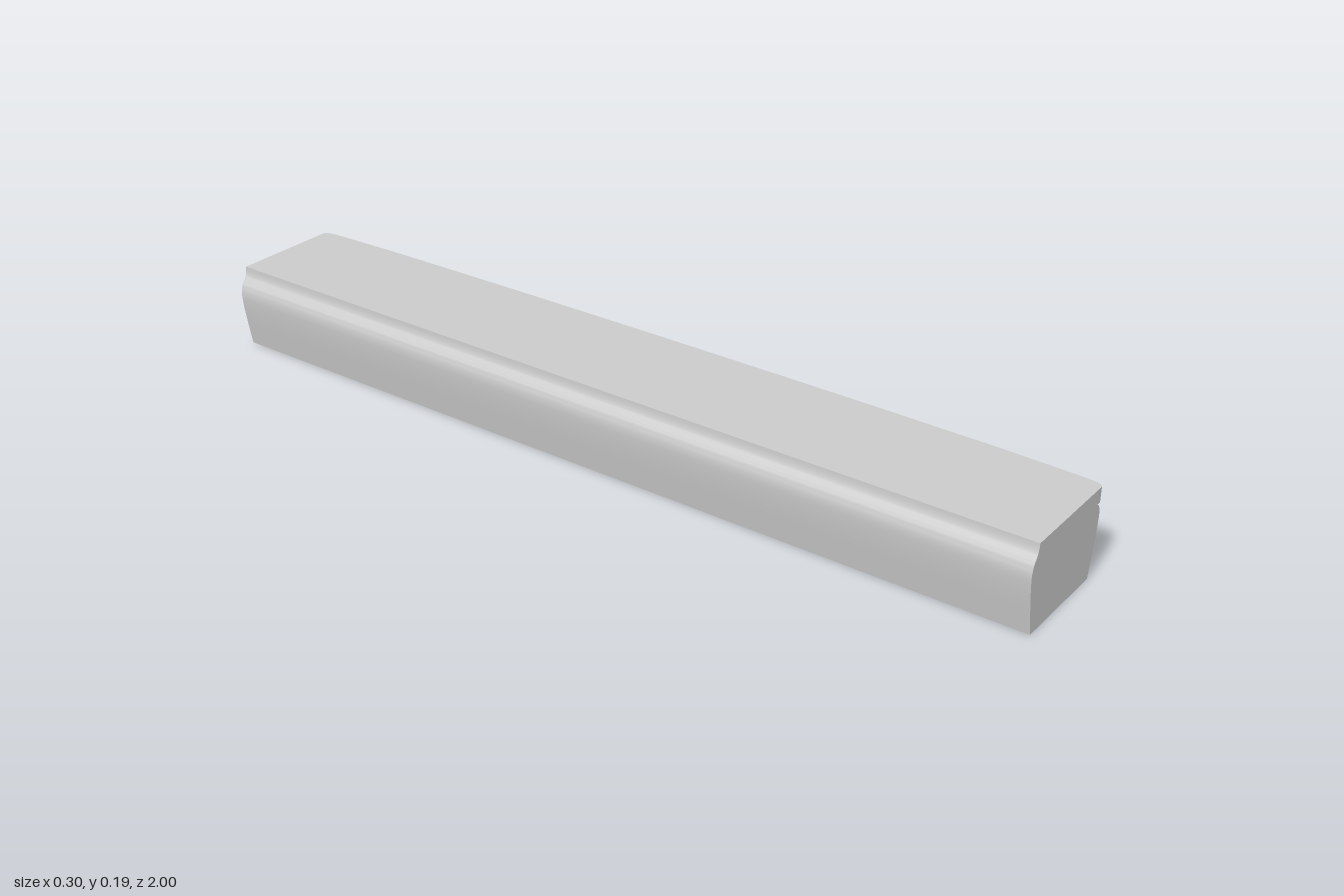
import * as THREE from 'three';
import { toCreasedNormals } from 'three/addons/utils/BufferGeometryUtils.js';

const LENGTH = 2, HEIGHT = 0.192, LIP_Y = 0.159, SEAM_X = 0.107;

export function createModel() {
  const group = new THREE.Group();
  group.name = 'mouldedBeam';
  const material = new THREE.MeshStandardMaterial({ color: 0xcccccc });

  function addExtrusion(name, shape, depth, place) {
    const geometry = new THREE.ExtrudeGeometry(shape, { depth, bevelEnabled: false, curveSegments: 12 });
    place(geometry);
    const mesh = new THREE.Mesh(toCreasedNormals(geometry, 0.6), material);
    mesh.name = name;
    group.add(mesh);
  }

  // Beam: bulging flanks, a shallow cove at the upper right-hand edge
  const profile = new THREE.Shape();
  profile.moveTo(-0.128, 0);
  profile.lineTo(0.105, 0);
  profile.bezierCurveTo(0.113, 0.045, 0.122, 0.09, 0.124, 0.128);
  profile.bezierCurveTo(0.125, 0.145, 0.118, 0.157, SEAM_X, LIP_Y);
  profile.lineTo(SEAM_X, HEIGHT);
  profile.lineTo(-0.128, HEIGHT);
  profile.bezierCurveTo(-0.128, 0.156, -0.147, 0.168, -0.148, 0.128);
  profile.bezierCurveTo(-0.146, 0.09, -0.136, 0.045, -0.128, 0);
  addExtrusion('beam', profile, LENGTH, (g) => g.translate(0, 0, -LENGTH / 2));

  // Overhanging lip: plan outline bowed along its length with rounded corners
  const plan = new THREE.Shape();
  plan.moveTo(SEAM_X, -1);
  plan.lineTo(0.119, -1);
  plan.bezierCurveTo(0.129, -1, 0.132, -0.985, 0.134, -0.96);
  plan.lineTo(0.14, -0.8);
  plan.quadraticCurveTo(0.147, -0.45, 0.147, 0);
  plan.quadraticCurveTo(0.147, 0.45, 0.14, 0.8);
  plan.lineTo(0.134, 0.96);
  plan.bezierCurveTo(0.132, 0.985, 0.129, 1, 0.119, 1);
  plan.lineTo(SEAM_X, 1);
  plan.closePath();
  addExtrusion('lip', plan, HEIGHT - LIP_Y, (g) => g.rotateX(-Math.PI / 2).translate(0, LIP_Y, 0));

  return group;
}
